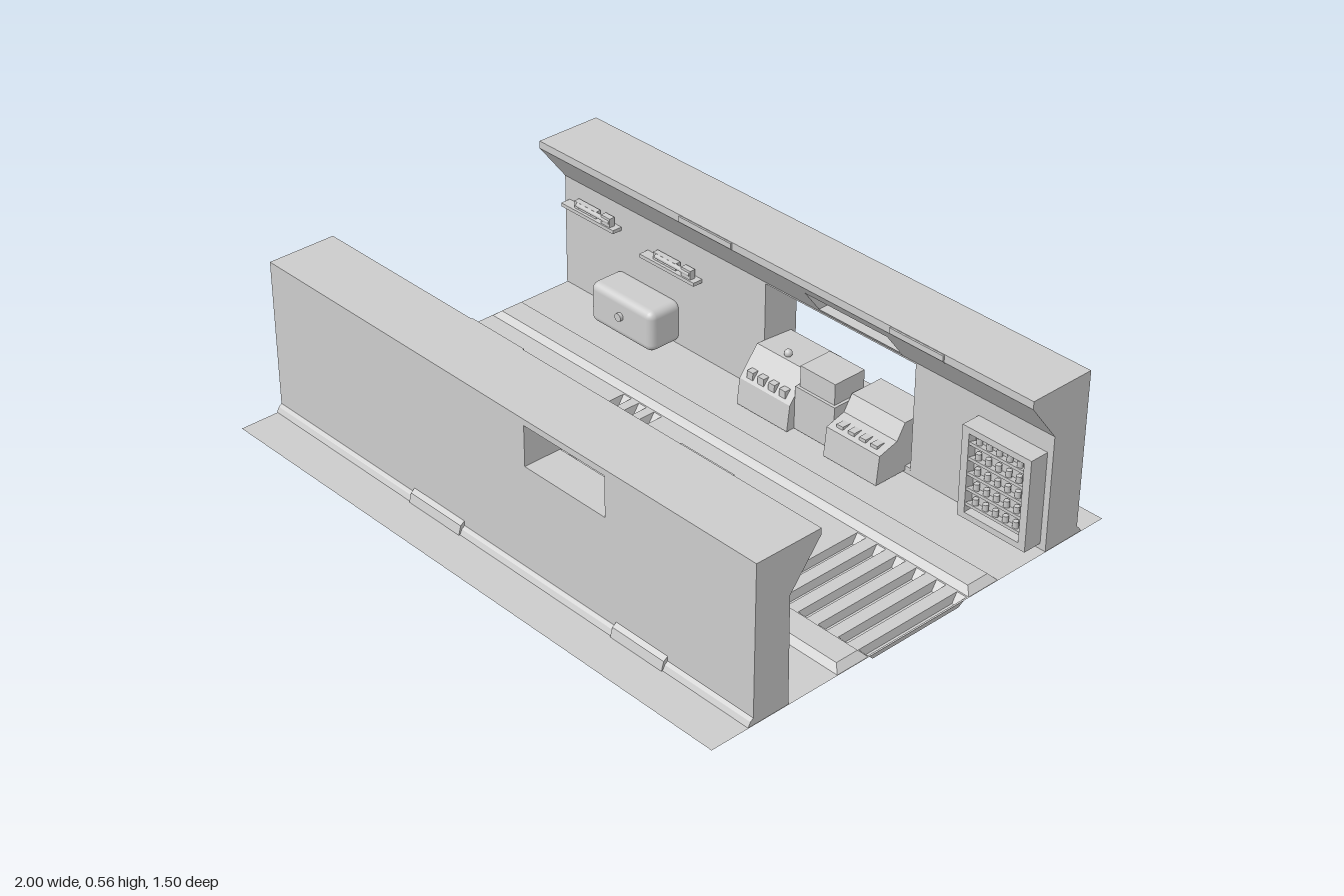
import * as THREE from 'three';
import { RoundedBoxGeometry } from 'three/addons/geometries/RoundedBoxGeometry.js';

const grey = new THREE.MeshStandardMaterial({ color: 0xcccccc, side: THREE.DoubleSide });

export function createModel() {
  const root = new THREE.Group();
  const add = (name, geo, x = 0, y = 0, z = 0, parent = root) => {
    const m = new THREE.Mesh(geo, grey);
    m.name = name;
    m.position.set(x, y, z);
    parent.add(m);
    return m;
  };
  const box = (name, x0, x1, y0, y1, z0, z1) =>
    add(name, new THREE.BoxGeometry(x1 - x0, y1 - y0, z1 - z0), (x0 + x1) / 2, (y0 + y1) / 2, (z0 + z1) / 2);

  // Solid with a [z, y] cross-section running from x0 to x1
  const run = (name, pts, x0, x1) => {
    const shape = new THREE.Shape(pts.map(p => new THREE.Vector2(p[0], p[1])));
    const g = new THREE.ExtrudeGeometry(shape, { depth: x1 - x0, bevelEnabled: false });
    g.rotateY(-Math.PI / 2);
    return add(name, g, x1, 0, 0);
  };

  // Open tray with sloping sides, standing up or sunk from the floor
  const tray = (name, x0, x1, z0, z1, y0, y1, ix, iz) => {
    const g = new THREE.BufferGeometry();
    g.setAttribute('position', new THREE.Float32BufferAttribute([
      x0, y0, z0, x1, y0, z0, x1, y0, z1, x0, y0, z1,
      x0 + ix, y1, z0 + iz, x1 - ix, y1, z0 + iz, x1 - ix, y1, z1 - iz, x0 + ix, y1, z1 - iz], 3));
    const idx = [4, 6, 5, 4, 7, 6];
    for (let i = 0; i < 4; i++) {
      const j = (i + 1) % 4;
      idx.push(i, i + 4, j, j, i + 4, j + 4);
    }
    if (y1 < y0) idx.reverse();
    g.setIndex(idx);
    const flat = g.toNonIndexed();
    flat.computeVertexNormals();
    add(name, flat);
  };

  // Floor sheet with holes for the rails and drain grooves
  const F = 0.025;
  const rect = (S, x0, x1, z0, z1) => new S([[x0, z0], [x1, z0], [x1, z1], [x0, z1]].map(p => new THREE.Vector2(p[0], -p[1])));
  const floor = rect(THREE.Shape, -1, 1, -0.75, 0.75);
  for (const [z0, z1] of [[-0.318, -0.203], [0.185, 0.3]]) {
    floor.holes.push(rect(THREE.Path, -0.998, 0.998, z0, z1));
    tray('floorRail', -0.998, 0.998, z0, z1, F, 0.044, 0.022, 0.018);
  }
  const grooves = [];
  for (let i = 0; i < 3; i++) grooves.push(-0.385 + i * 0.067);
  for (let i = 0; i < 6; i++) grooves.push(0.585 + i * 0.075);
  for (const x of grooves) {
    floor.holes.push(rect(THREE.Path, x, x + 0.034, -0.198, 0.182));
    tray('drainGroove', x, x + 0.034, -0.198, 0.182, F, 0, 0.005, 0.024);
  }
  add('floor', new THREE.ShapeGeometry(floor).rotateX(-Math.PI / 2), 0, F, 0);

  // Front wall with a window cut through its overhang
  const B = 0.027;
  const frontWall = [[0.605, B], [0.605, 0.53], [0.38, 0.53], [0.38, 0.51], [0.485, 0.375], [0.48, B]];
  run('frontWall', frontWall, -1, 0.12);
  run('frontWall', frontWall, 0.44, 1);
  run('frontWindowSill', [[0.605, B], [0.605, 0.38], [0.481, 0.38], [0.485, 0.375], [0.48, B]], 0.12, 0.44);
  run('frontWindowHead', [[0.605, 0.51], [0.605, 0.53], [0.38, 0.53], [0.38, 0.51]], 0.12, 0.44);

  // Back wall with a wide opening and a window above it
  const backWall = [[-0.64, B], [-0.64, 0.56], [-0.41, 0.56], [-0.41, 0.535], [-0.51, 0.405], [-0.51, B]];
  const overOpening = [[-0.64, 0.4], [-0.64, 0.56], [-0.41, 0.56], [-0.41, 0.535], [-0.51, 0.405], [-0.51, 0.4]];
  run('backWall', backWall, -1, -0.11);
  run('backWall', backWall, 0.49, 1);
  run('openingHead', overOpening, -0.11, 0.12);
  run('openingHead', overOpening, 0.44, 0.49);
  run('openingLintel', [[-0.64, 0.4], [-0.64, 0.42], [-0.498, 0.42], [-0.51, 0.405], [-0.51, 0.4]], 0.12, 0.44);
  run('backWindowHead', [[-0.64, 0.54], [-0.64, 0.56], [-0.41, 0.56], [-0.41, 0.535], [-0.441, 0.495]], 0.12, 0.44);
  box('openingSill', -0.11, 0.49, B, 0.05, -0.64, -0.51);

  // Flared skirting, taller and deeper at two places, and matching lip plates
  const bumps = [[-0.37, -0.15], [0.48, 0.68]];
  for (const [zo, zi, top, s] of [[0.605, 0.38, 0.53, 1], [-0.64, -0.41, 0.56, -1]]) {
    run('skirting', [[zo - s * 0.01, B], [zo + s * 0.018, B], [zo + s * 0.01, 0.042], [zo, 0.05], [zo - s * 0.01, 0.05]], -1, 1);
    for (const [x0, x1] of bumps) {
      run('skirtingBlock', [[zo - s * 0.01, B], [zo + s * 0.022, B], [zo + s * 0.014, 0.055], [zo, 0.065], [zo - s * 0.01, 0.065]], x0, x1);
      run('lipPlate', [[zi + s * 0.01, top - 0.002], [zi - s * 0.006, top - 0.002], [zi - s * 0.006, top - 0.02], [zi + s * 0.01, top - 0.036]], x0, x1);
    }
  }

  // Consoles standing in the opening
  run('leftConsole', [[-0.62, 0.035], [-0.62, 0.2], [-0.48, 0.21], [-0.41, 0.12], [-0.4, 0.035]], -0.11, 0.1);
  box('middleConsole', 0.1, 0.26, 0.035, 0.18, -0.6, -0.43);
  box('consoleMonitor', 0.11, 0.25, 0.18, 0.25, -0.56, -0.44);
  run('rightConsole', [[-0.62, 0.035], [-0.62, 0.2], [-0.5, 0.2], [-0.47, 0.15], [-0.4, 0.13], [-0.39, 0.035]], 0.26, 0.47);
  for (let i = 0; i < 4; i++) {
    box('consoleKey', -0.085 + i * 0.045, -0.06 + i * 0.045, 0.13, 0.155, -0.45, -0.415);
    box('consoleSwitch', 0.285 + i * 0.045, 0.31 + i * 0.045, 0.13, 0.145, -0.445, -0.415);
  }
  add('consoleKnob', new THREE.SphereGeometry(0.013, 12, 8), 0, 0.218, -0.5);

  // Rounded locker with a round handle
  add('locker', new RoundedBoxGeometry(0.28, 0.14, 0.13, 3, 0.025), -0.62, 0.105, -0.46);
  add('lockerHandle', new THREE.CylinderGeometry(0.014, 0.014, 0.016, 12).rotateX(Math.PI / 2), -0.62, 0.11, -0.392);

  // Shelf rack: framed cabinet with five rows of tilted shelves and bottles
  box('rackBack', 0.73, 0.98, 0.045, 0.345, -0.515, -0.475);
  for (const x of [0.73, 0.955]) box('rackSide', x, x + 0.025, 0.045, 0.345, -0.48, -0.445);
  for (const y of [0.045, 0.325]) box('rackRail', 0.755, 0.955, y, y + 0.02, -0.48, -0.445);
  for (let r = 0; r < 5; r++) {
    const y = 0.08 + r * 0.05;
    run('rackShelf', [[-0.476, y], [-0.476, y + 0.01], [-0.448, y + 0.018], [-0.448, y + 0.008]], 0.755, 0.955);
    for (let i = 0; i < 5; i++)
      add('rackBottle', new THREE.CylinderGeometry(0.009, 0.009, 0.026, 8), 0.78 + i * 0.037, y + 0.023, -0.462);
  }

  // Small tool shelves on the back wall
  for (const [x, y] of [[-0.86, 0.325], [-0.5, 0.295]]) {
    box('toolShelf', x - 0.12, x + 0.12, y - 0.008, y + 0.004, -0.512, -0.475);
    box('toolBody', x - 0.07, x + 0.03, y + 0.004, y + 0.028, -0.505, -0.485);
    add('toolBarrel', new THREE.CylinderGeometry(0.008, 0.008, 0.15, 10).rotateZ(Math.PI / 2), x + 0.02, y + 0.02, -0.485);
    box('toolGrip', x + 0.06, x + 0.1, y + 0.004, y + 0.034, -0.5, -0.48);
  }

  // Horizontal rods on brackets and an upright valve pipe on the front wall
  for (const y of [0.12, 0.175, 0.23, 0.285]) {
    add('wallRod', new THREE.CylinderGeometry(0.006, 0.006, 0.42, 8).rotateZ(Math.PI / 2), 0.15, y, 0.463);
    for (const x of [-0.05, 0.34]) box('rodBracket', x - 0.012, x + 0.012, y - 0.012, y + 0.012, 0.452, 0.485);
  }
  add('valvePipe', new THREE.CylinderGeometry(0.006, 0.006, 0.2, 8), 0.41, 0.21, 0.463);
  for (const y of [0.125, 0.24]) {
    add('valve', new THREE.CylinderGeometry(0.016, 0.016, 0.022, 12), 0.41, y, 0.463);
    box('valveBracket', 0.395, 0.425, y + 0.045, y + 0.057, 0.455, 0.485);
  }

  // Round hatch with two rings
  const disc = (name, r, d, z) => add(name, new THREE.CylinderGeometry(r, r, d, 40).rotateX(Math.PI / 2), -0.73, 0.215, z);
  disc('hatchPlate', 0.115, 0.012, 0.481);
  disc('hatchCentre', 0.06, 0.018, 0.478);
  for (const [r, t] of [[0.11, 0.012], [0.075, 0.009]])
    add('hatchRing', new THREE.TorusGeometry(r, t, 10, 40), -0.73, 0.215, 0.474);

  // Sloping mound below the hatch
  const mound = new THREE.PlaneGeometry(1, 1, 24, 8);
  const p = mound.attributes.position;
  for (let i = 0; i < p.count; i++) {
    const u = p.getX(i), v = 0.5 - p.getY(i);
    const swell = Math.pow(Math.cos(u * Math.PI), 0.7) || 0;
    p.setXYZ(i, -0.71 + u * 0.56, B + 0.01 * swell + 0.09 * swell * Math.pow(1 - v, 1.2), 0.483 - (0.02 + 0.073 * swell) * v);
  }
  mound.computeVertexNormals();
  add('mound', mound);

  // Loose cable trailing along the wall
  const cable = new THREE.CatmullRomCurve3([[-0.62, 0.15, 0.47], [-0.55, 0.13, 0.45], [-0.46, 0.06, 0.44], [-0.38, 0.04, 0.45], [-0.3, 0.035, 0.47]]
    .map(a => new THREE.Vector3(...a)));
  add('cable', new THREE.TubeGeometry(cable, 24, 0.007, 8));

  return root;
}
